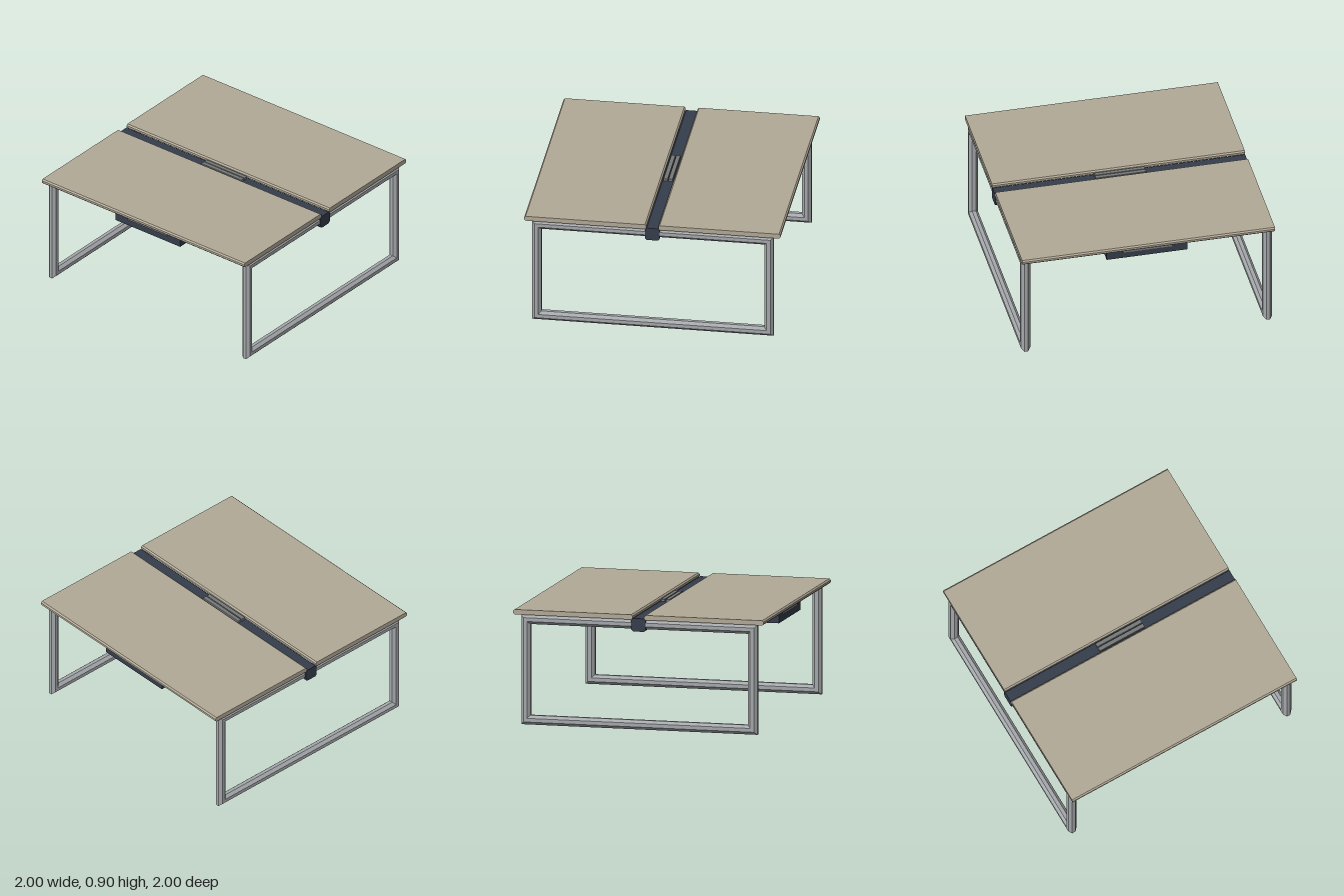
import * as THREE from 'three';

const mat = (name, color) => {
  const m = new THREE.MeshStandardMaterial({ color });
  m.name = name;
  return m;
};

// Extrude a (z, y) outline along x, centred on x = 0
function extrudeAlongX(points, length) {
  const shape = new THREE.Shape(points.map(([z, y]) => new THREE.Vector2(-z, y)));
  const g = new THREE.ExtrudeGeometry(shape, { depth: length, bevelEnabled: false });
  g.translate(0, 0, -length / 2);
  g.rotateY(Math.PI / 2); // extrusion axis becomes x, shape axis becomes -z
  return g;
}

// Rectangle outline with cut corners
const chamfered = (z0, z1, y0, y1, c) => [
  [z0 + c, y0], [z1 - c, y0], [z1, y0 + c], [z1, y1 - c],
  [z1 - c, y1], [z0 + c, y1], [z0, y1 - c], [z0, y0 + c],
];

// Closed rectangular loop with mitred corners and an octagonal section
function loopFrame(halfZ, height, size, cut) {
  const section = chamfered(-size / 2, size / 2, 0, size, cut); // [x, inward offset]
  const corner = ([x, d], k) => {
    const z = halfZ - d;
    return [[x, d, -z], [x, d, z], [x, height - d, z], [x, height - d, -z]][k % 4];
  };
  const pos = [];
  section.forEach((p, i) => {
    const q = section[(i + 1) % section.length];
    for (let k = 0; k < 4; k++) {
      const a = corner(p, k), b = corner(p, k + 1), c = corner(q, k + 1), d = corner(q, k);
      pos.push(...a, ...d, ...c, ...a, ...c, ...b);
    }
  });
  const g = new THREE.BufferGeometry();
  g.setAttribute('position', new THREE.Float32BufferAttribute(pos, 3));
  // Turn the faces outward if the signed volume is negative
  let volume = 0;
  const v = [new THREE.Vector3(), new THREE.Vector3(), new THREE.Vector3()];
  const attr = g.attributes.position;
  for (let i = 0; i < attr.count; i += 3) {
    v.forEach((p, j) => p.fromBufferAttribute(attr, i + j));
    volume += v[0].dot(v[1].clone().cross(v[2]));
  }
  if (volume < 0) {
    for (let i = 0; i < attr.count; i += 3) {
      v.forEach((p, j) => p.fromBufferAttribute(attr, i + j));
      attr.setXYZ(i + 1, v[2].x, v[2].y, v[2].z);
      attr.setXYZ(i + 2, v[1].x, v[1].y, v[1].z);
    }
  }
  g.computeVertexNormals();
  return g;
}

export function createModel() {
  const model = new THREE.Group();
  model.name = 'doubleDesk';
  const wood = mat('taupe top', 0xb3aa98);
  const metal = mat('frame grey', 0xa6a9ac);
  const dark = mat('dark slate', 0x363e4c);
  const grey = mat('insert grey', 0x777a7a);

  const add = (parent, name, geometry, material, x = 0, y = 0, z = 0) => {
    const m = new THREE.Mesh(geometry, material);
    m.name = name;
    m.position.set(x, y, z);
    parent.add(m);
    return m;
  };

  // Loop legs at each end
  const frame = loopFrame(0.943, 0.86, 0.073, 0.022);
  add(model, 'leftLegFrame', frame, metal, 0.957);
  add(model, 'rightLegFrame', frame, metal, -0.957);

  // Cable duct along the middle
  add(model, 'cableDuct', extrudeAlongX(chamfered(-0.057, 0.057, 0.77, 0.872, 0.014), 2), dark);

  // One workstation per side: top, drawer with handle, and socket strip
  const top = extrudeAlongX(chamfered(0.047, 1, 0.862, 0.9, 0.011), 2);
  const drawer = extrudeAlongX(
    [[0.445, 0.765], [0.94, 0.765], [0.94, 0.862], [0.425, 0.862], [0.425, 0.795]], 0.64);
  for (const [name, turn] of [['front', 0], ['back', Math.PI]]) {
    const side = new THREE.Group();
    side.name = name + 'Workstation';
    side.rotation.y = turn;
    add(side, 'tabletop', top, wood);
    add(side, 'drawer', drawer, dark);
    add(side, 'drawerHandle', new THREE.BoxGeometry(0.39, 0.022, 0.009), grey, 0, 0.83, 0.9445);
    add(side, 'socketStrip', new THREE.BoxGeometry(0.4, 0.022, 0.031), grey, 0, 0.881, 0.0195);
    model.add(side);
  }
  return model;
}
